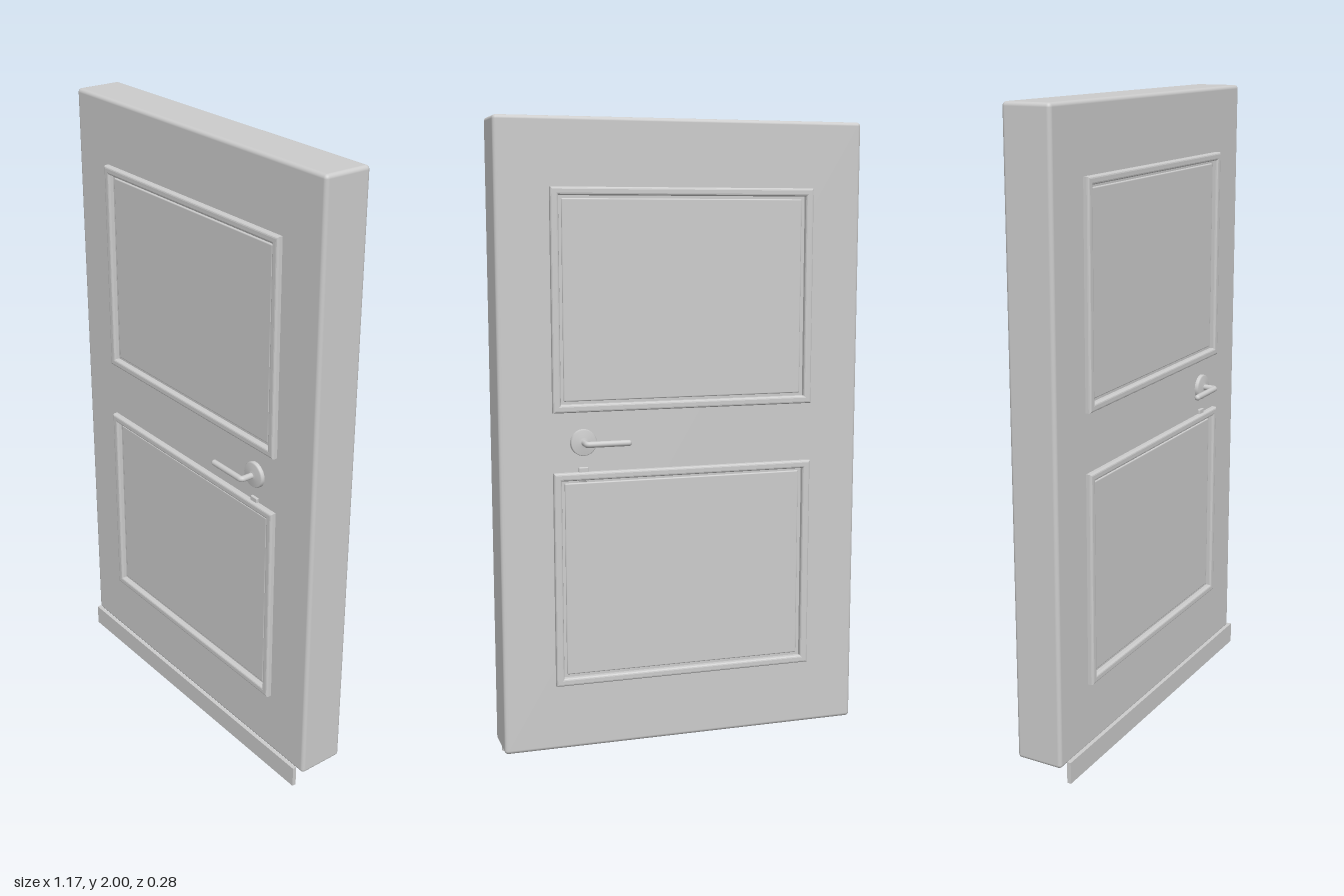
import * as THREE from 'three';
import { RoundedBoxGeometry } from 'three/addons/geometries/RoundedBoxGeometry.js';

const FACE = 0.077; // half thickness of the door leaf

function rectPath(target, w, h) {
  target.moveTo(-w / 2, -h / 2);
  target.lineTo(w / 2, -h / 2);
  target.lineTo(w / 2, h / 2);
  target.lineTo(-w / 2, h / 2);
  target.closePath();
  return target;
}

export function createModel() {
  const door = new THREE.Group();
  door.name = 'door';
  const grey = new THREE.MeshStandardMaterial({ color: 0xcccccc });
  grey.name = 'light grey';

  const add = (parent, name, geometry, x = 0, y = 0, z = 0) => {
    const mesh = new THREE.Mesh(geometry, grey);
    mesh.name = name;
    mesh.position.set(x, y, z);
    parent.add(mesh);
    return mesh;
  };

  // Door leaf with softly rounded edges
  add(door, 'doorLeaf', new RoundedBoxGeometry(1.168, 1.95, 2 * FACE, 3, 0.012), 0, 1.025, 0);

  // Weather strip hanging at the foot of the front
  add(door, 'weatherStrip', new THREE.BoxGeometry(1.128, 0.07, 0.013), 0, 0.035, 0.0935);

  // Raised moulding ring with a rounded profile
  const bevel = 0.007;
  const ring = rectPath(new THREE.Shape(), 0.84 - 2 * bevel, 0.675 - 2 * bevel);
  ring.holes.push(rectPath(new THREE.Path(), 0.79 + 2 * bevel, 0.625 + 2 * bevel));
  const mouldingGeometry = new THREE.ExtrudeGeometry(ring, {
    depth: 0.013, bevelThickness: bevel, bevelSize: bevel, bevelSegments: 3,
  });
  // Shallow field inside the moulding
  const fieldGeometry = new RoundedBoxGeometry(0.768, 0.608, 0.014, 2, 0.004);

  // Lever: stem out of the rosette, a tight bend, then the grip
  const path = new THREE.CurvePath();
  const v = (x, z) => new THREE.Vector3(x, 0, z);
  path.add(new THREE.LineCurve3(v(0, FACE), v(0, 0.124)));
  path.add(new THREE.QuadraticBezierCurve3(v(0, 0.124), v(0, 0.132), v(-0.008, 0.132)));
  path.add(new THREE.LineCurve3(v(-0.008, 0.132), v(-0.13, 0.132)));
  const leverGeometry = new THREE.TubeGeometry(path, 60, 0.0095, 14);
  const tipGeometry = new THREE.SphereGeometry(0.0095, 14, 10);
  const rosetteGeometry = new THREE.LatheGeometry(
    [[0.041, 0], [0.041, 0.01], [0.038, 0.014], [0.016, 0.014], [0.013, 0.017], [0, 0.017]]
      .map(([r, h]) => new THREE.Vector2(r, h)), 32).rotateX(Math.PI / 2);
  const keyPlateGeometry = new RoundedBoxGeometry(0.03, 0.044, 0.016, 2, 0.003);

  // The same fittings on both faces, turned about the x axis for the back
  [['front', 0], ['back', Math.PI]].forEach(([side, turn]) => {
    const fitting = (name, x, y) => {
      const group = new THREE.Group();
      group.name = side + name;
      group.position.set(x, y, 0);
      group.rotation.x = turn;
      door.add(group);
      return group;
    };
    for (const [name, y] of [['UpperPanel', 1.457], ['LowerPanel', 0.597]]) {
      const panel = fitting(name, 0, y);
      add(panel, 'moulding', mouldingGeometry, 0, 0, FACE - 0.002);
      add(panel, 'panelField', fieldGeometry, 0, 0, FACE - 0.002);
    }
    const handle = fitting('Handle', 0.325, 1.026);
    add(handle, 'rosette', rosetteGeometry, 0, 0, FACE);
    add(handle, 'lever', leverGeometry);
    add(handle, 'leverTip', tipGeometry, -0.13, 0, 0.132);
    const lock = fitting('Lock', 0.325, 0.927);
    add(lock, 'keyPlate', keyPlateGeometry, 0, 0, FACE);
  });

  return door;
}
